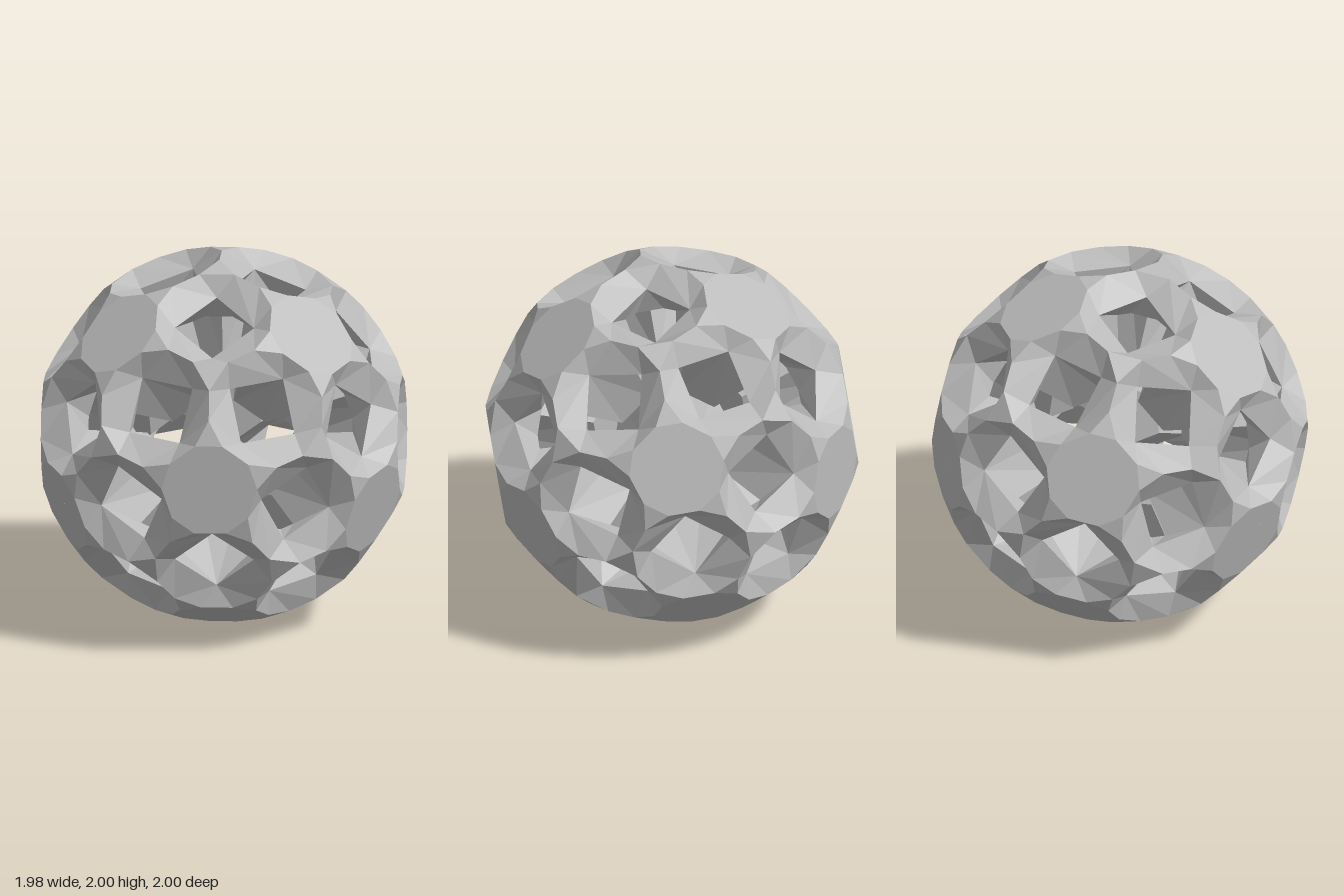
import * as THREE from 'three';
import { mergeGeometries } from 'three/addons/utils/BufferGeometryUtils.js';

const V = (x, y, z) => new THREE.Vector3(x, y, z);
const HOLE_ANGLE = 0.55357;  // five-fold axis to hole axis
const PATCH_ANGLE = 0.36486; // three-fold axis to hole axis

// Unit direction square to `from`, pointing toward `to`
const toward = (from, to) => to.clone().addScaledVector(from, -from.dot(to)).normalize();
const flip = (p, x, y) => V(p.x * x, p.y * y, p.z);

// The twelve five-fold axes of the ball
function starAxes() {
  const front = V(-0.185, 0, 0.983).normalize();
  const up = toward(front, V(-0.018, 1, -0.003));
  const side = up.clone().cross(front);
  const axes = [front, front.clone().negate()];
  for (let i = 0; i < 5; i++) {
    const t = Math.PI / 5 + i * Math.PI * 0.4;
    const a = front.clone().multiplyScalar(0.44721)
      .addScaledVector(up, 0.89443 * Math.cos(t))
      .addScaledVector(side, 0.89443 * Math.sin(t));
    axes.push(a, a.clone().negate());
  }
  return axes;
}

// One frame per hole, at the middle of each pair of neighbouring axes
function holeFrames() {
  const axes = starAxes(), frames = [];
  axes.forEach((a, i) => axes.slice(i + 1).forEach((b) => {
    if (Math.abs(a.dot(b) - 0.44721) > 0.01) return;
    const n = a.clone().add(b).normalize();
    const u = a.clone().sub(b).normalize();
    frames.push(new THREE.Matrix4().makeBasis(u, n.clone().cross(u), n));
  }));
  return frames;
}

// Flat-shaded geometry from triangles
function facets(triangles) {
  const g = new THREE.BufferGeometry().setFromPoints(triangles.flat());
  g.computeVertexNormals();
  return g;
}

// Full twelve-point ring from the three points of one quarter
function ringOf([a, b, c]) {
  return [a, b, c, ...[c, b, a].map((p) => flip(p, -1, 1)),
    ...[a, b, c].map((p) => flip(p, -1, -1)), ...[c, b, a].map((p) => flip(p, 1, -1))];
}

// Walls from a twelve-point ring down to the four-cornered neck
function funnelOf(ring, neck) {
  const neckOf = [0, 0, 1, 1, 2, 2, 2, 2, 3, 3, 0, 0], faces = [];
  ring.forEach((p, i) => {
    const j = (i + 1) % 12, k = neck[neckOf[i]], m = neck[neckOf[j]];
    faces.push([p, ring[j], k]);
    if (k !== m) faces.push([ring[j], m, k]);
  });
  return faces;
}

// Copies of triangles at both ends of the hole
const bothEnds = (list, x, y) => [...list, ...list.map((t) => t.map((p) => flip(p, x, y)))];
const turned = (list) => list.map(([a, b, c]) => [a, c, b]);

// All faces around one hole; x points at a star, y at a small patch
function holeParts() {
  const star = V(Math.sin(HOLE_ANGLE), 0, Math.cos(HOLE_ANGLE));
  const patch = V(0, Math.sin(PATCH_ANGLE), Math.cos(PATCH_ANGLE));
  const across = toward(star, patch);
  // Point on the mirror plane between two holes
  const shared = (radius, angle) => star.clone().multiplyScalar(radius * Math.cos(angle))
    .addScaledVector(across, radius * Math.sin(angle));

  // Outer rim: the edge from tip to corner is shared with the next hole
  const notch = V(0.304, 0.085, 0.949);
  const tip = shared(1.001, 0.3836), corner = shared(1.001, 0.5436);
  const rim = ringOf([notch, tip, corner]);
  const neck = [V(0.21, 0, 0.87), V(0, 0.21, 0.87), V(-0.21, 0, 0.87), V(0, -0.21, 0.87)];

  // Inner ring: deep plugs below the stars, shallow arches between the holes
  const plug = shared(0.42, 0.43), arch = shared(0.74, 0.44), heel = shared(0.74, 0.54);
  const innerRim = ringOf([plug, arch, heel]);

  // Star with bent tips: its centre and the fold at the root of a tip
  const centre = star.clone().multiplyScalar(notch.dot(star));
  const mirror = star.clone().cross(patch).normalize();
  const fold = notch.clone().addScaledVector(mirror, -notch.dot(mirror));
  const low = (p) => flip(p, 1, -1);
  const starSector = [
    [centre, notch, low(notch)],
    [centre, fold, notch], [fold, tip, notch],
    [centre, low(notch), low(fold)], [low(fold), low(notch), low(tip)],
  ];

  // Sector of a flat face centred on an axis
  const sector = (axis, p, q) => [axis.clone().multiplyScalar(p.dot(axis)), p, q];
  const patchSector = [sector(patch, flip(corner, -1, 1), corner)];
  const plugSector = [sector(star, low(plug), plug)];
  const heelSector = [sector(patch, heel, flip(heel, -1, 1))];

  // A half turn carries each sector to the other end of the hole
  return {
    starFaces: bothEnds(starSector, -1, -1),
    trianglePatches: bothEnds(patchSector, -1, -1),
    holeFunnels: funnelOf(rim, neck),
    innerWalls: turned(funnelOf(innerRim, neck)),
    plugEnds: bothEnds(plugSector, -1, -1),
    innerPatches: bothEnds(heelSector, -1, -1),
  };
}

export function createModel() {
  const grey = new THREE.MeshStandardMaterial({ color: 0xbcbcbc });
  grey.name = 'plain grey';
  const model = new THREE.Group();
  model.name = 'piercedBall';

  const frames = holeFrames();
  for (const [name, triangles] of Object.entries(holeParts())) {
    const one = facets(triangles);
    const mesh = new THREE.Mesh(mergeGeometries(frames.map((f) => one.clone().applyMatrix4(f))), grey);
    mesh.name = name;
    mesh.position.y = 1;
    model.add(mesh);
  }
  return model;
}
